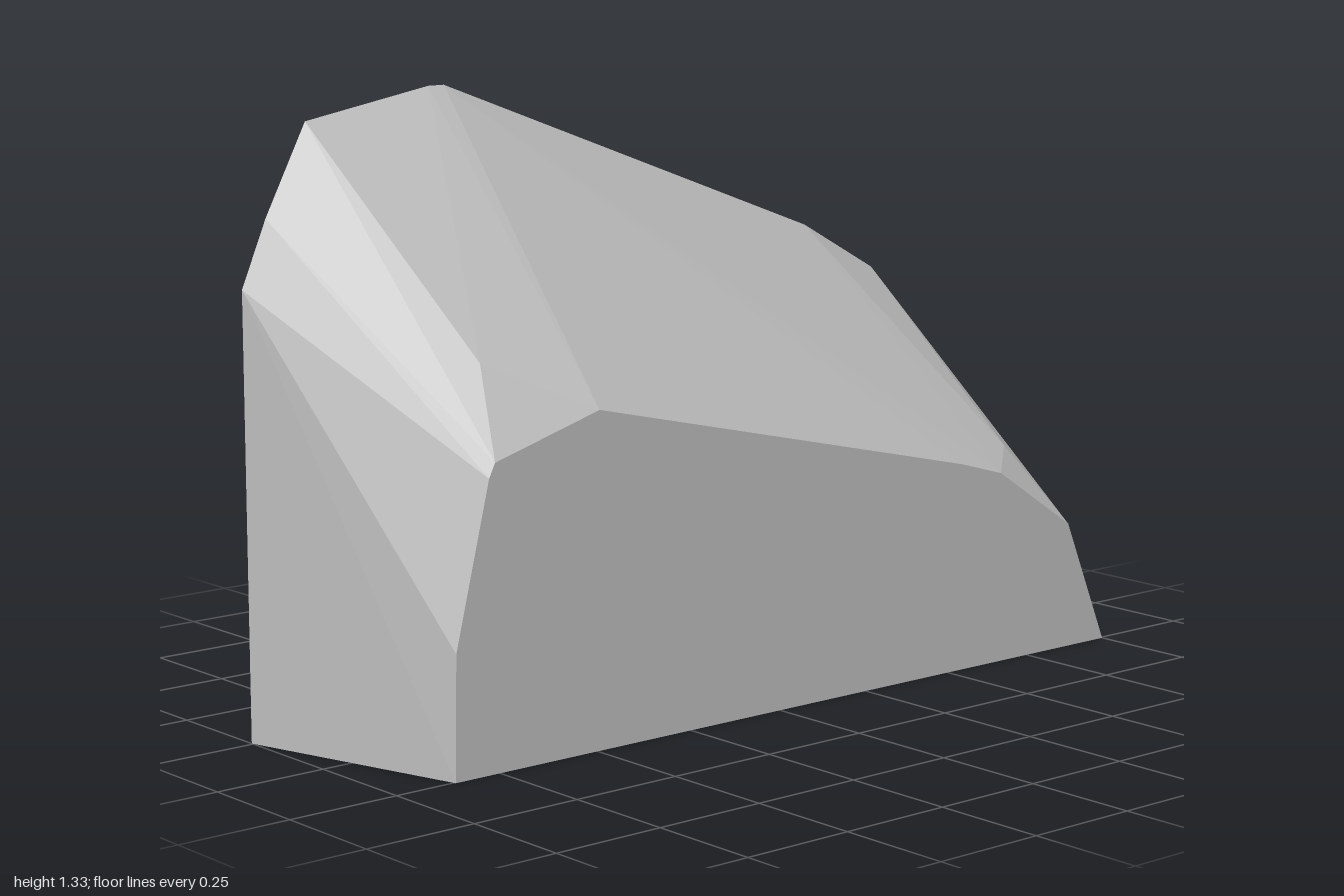
import * as THREE from 'three';
import { ConvexGeometry } from 'three/addons/geometries/ConvexGeometry.js';

export function createModel() {
  const group = new THREE.Group();
  group.name = 'cutStone';
  const stone = new THREE.MeshStandardMaterial({ color: 0xbfbfbf, flatShading: true });
  stone.name = 'stone grey';

  const depth = 0.255;
  // Low outline of the front face
  const front = [
    [-0.86, 0], [-0.855, 0.26], [-0.77, 0.6], [-0.755, 0.63], [-0.49, 0.705],
    [0.54, 0.465], [0.66, 0.43], [0.88, 0.285], [1, 0],
  ];
  // Tall outline of the back face
  const back = [
    [-1, 0], [-1, 0.94], [-0.94, 1.08], [-0.84, 1.27], [-0.53, 1.325], [-0.49, 1.325],
    [0.53, 0.95], [0.74, 0.835], [0.77, 0.78], [0.865, 0.455], [0.898, 0.11], [0.9, 0],
  ];
  // Chipped corners between the two faces
  const chips = [
    [-0.71, 0.81, 0.15], [0.755, 0.47, 0.17], [1, 0, 0.14], [0.937, 0, -0.13],
  ];

  const points = [
    ...front.map(([x, y]) => new THREE.Vector3(x, y, depth)),
    ...back.map(([x, y]) => new THREE.Vector3(x, y, -depth)),
    ...chips.map((p) => new THREE.Vector3(...p)),
  ];
  const block = new THREE.Mesh(new ConvexGeometry(points), stone);
  block.name = 'stoneBlock';
  group.add(block);
  return group;
}
